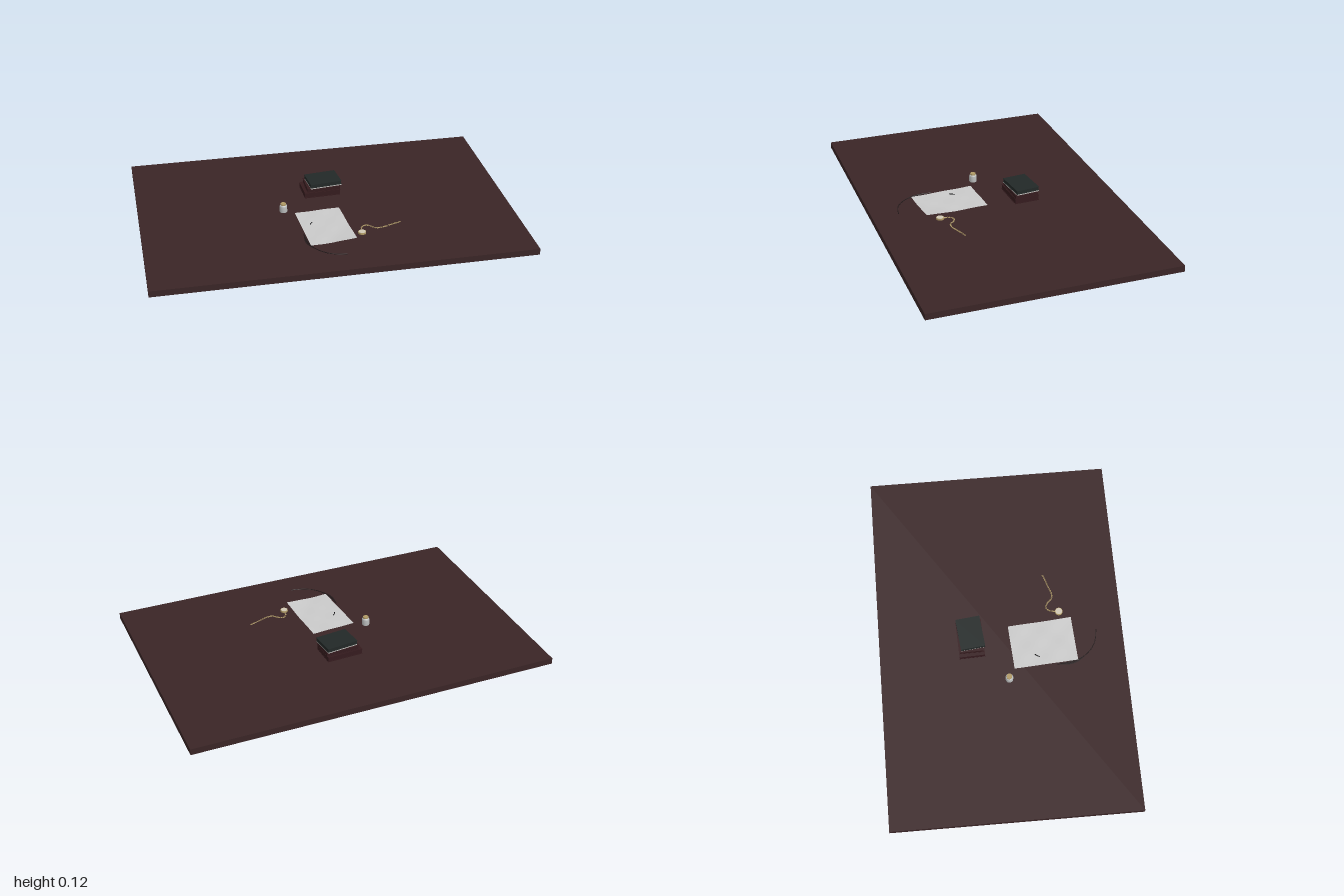
import * as THREE from 'three';

const mat = (name, color, extra = {}) =>
  Object.assign(new THREE.MeshStandardMaterial({ color, ...extra }), { name });

export function createModel() {
  const model = new THREE.Group();
  model.name = 'writingDesk';
  const wood = mat('dark wood', 0x3a2526);
  const red = mat('oxblood leather', 0x351b1e);
  const green = mat('dark green leather', 0x222827);
  const pages = mat('page edges', 0xc4c4c0);
  const paper = mat('paper', 0xcacaca, { side: THREE.DoubleSide });
  const ink = mat('ink', 0x0c0c0e);
  const glass = mat('pale glass', 0xb9bcbc);
  const brass = mat('brass', 0xb09a66);
  const dial = mat('dial', 0xd0c8b4);
  const quillDark = mat('dark feather', 0x241a1b, { side: THREE.DoubleSide });
  const TOP = 0.034;

  function add(parent, name, geometry, material, x = 0, y = 0, z = 0, ry = 0) {
    const m = new THREE.Mesh(geometry, material);
    m.name = name;
    m.position.set(x, y, z);
    m.rotation.y = ry;
    parent.add(m);
    return m;
  }
  function group(name, x, y, z, ry = 0) {
    const g = new THREE.Group();
    g.name = name;
    g.position.set(x, y, z);
    g.rotation.y = ry;
    model.add(g);
    return g;
  }
  const curve = (pts, y) =>
    new THREE.CatmullRomCurve3(pts.map(([x, z, h = y]) => new THREE.Vector3(x, h, z)));

  // Table top
  add(model, 'tableTop', new THREE.BoxGeometry(2, TOP, 1.333), wood, 0, TOP / 2, 0);

  // Stack of three books
  function book(name, w, h, d, x, y, z, ry, cover) {
    const g = group(name, x, y, z, ry);
    const t = 0.003;
    add(g, 'block', new THREE.BoxGeometry(w - 0.002, h - 2 * t, d - 0.004), cover, 0, h / 2, 0);
    for (const [n, by] of [['lowerBoard', t / 2], ['upperBoard', h - t / 2]])
      add(g, n, new THREE.BoxGeometry(w, t, d), cover, 0, by, 0);
    return g;
  }
  book('bottomBook', 0.2, 0.03, 0.14, 0.012, TOP, -0.168, 0.04, red);
  book('middleBook', 0.185, 0.024, 0.132, 0.022, TOP + 0.03, -0.167, 0.02, red);
  book('topBook', 0.176, 0.021, 0.132, 0.029, TOP + 0.06, -0.166, 0.11, green);
  add(model, 'topBookPages', new THREE.BoxGeometry(0.174, 0.006, 0.13), pages,
    0.029, TOP + 0.057, -0.166, 0.11);

  // Ink bottle with stopper
  const bottle = group('inkBottle', -0.226, TOP, 0.025);
  const profile = [[0, 0], [0.019, 0], [0.021, 0.003], [0.021, 0.034], [0.018, 0.04], [0.013, 0.042], [0, 0.042]];
  add(bottle, 'bottleBody',
    new THREE.LatheGeometry(profile.map(p => new THREE.Vector2(...p)), 20), glass);
  add(bottle, 'stopper', new THREE.CylinderGeometry(0.015, 0.015, 0.008, 16), brass, 0, 0.046, 0);

  // Sheet of paper: gentle ripples, uneven edges, near corner lifted
  const W = 0.247, D = 0.35;
  const sheet = new THREE.PlaneGeometry(W, D, 24, 32).rotateX(-Math.PI / 2);
  const p = sheet.attributes.position;
  for (let i = 0; i < p.count; i++) {
    const x = p.getX(i), z = p.getZ(i), u = x / W + 0.5, v = z / D + 0.5;
    const lift = Math.max(0, u + v * 1.4 - 1.6) / 0.8;
    p.setXYZ(i,
      x + (u === 0 || u === 1 ? 0.0015 * Math.sin(z * 190) : 0),
      0.0025 + 0.0008 * Math.sin(x * 40) * Math.cos(z * 35) + 0.011 * lift * lift,
      z + (v === 0 || v === 1 ? 0.0015 * Math.sin(x * 170) : 0));
  }
  sheet.computeVertexNormals();
  const letter = group('letter', -0.035, TOP, 0.225, 0.065);
  add(letter, 'sheet', sheet, paper);

  // Ink stroke on the paper
  add(model, 'inkStroke', new THREE.TubeGeometry(
    curve([[-0.113, 0.2], [-0.106, 0.186], [-0.096, 0.175]], TOP + 0.004), 8, 0.0025, 5), ink);

  // Curved quill lying beside the paper: tapering shaft and flat vane
  const quill = group('quill', 0, 0, 0);
  const shaft = curve([[-0.163, 0.29], [-0.16, 0.37], [-0.137, 0.43], [-0.09, 0.485], [-0.04, 0.512], [0.02, 0.523]], TOP + 0.003);
  add(quill, 'shaft', new THREE.TubeGeometry(shaft, 40, 0.0025, 6), quillDark);
  const vane = new THREE.PlaneGeometry(1, 1, 2, 30);
  const vp = vane.attributes.position;
  for (let i = 0; i < vp.count; i++) {
    const t = 0.5 - vp.getY(i), side = vp.getX(i) * 2;
    const c = shaft.getPointAt(t), d = shaft.getTangentAt(t);
    const w = t < 0.5 ? 0.009 * Math.sin(Math.PI * t / 0.5) : 0;
    vp.setXYZ(i, c.x - d.z * w * side, TOP + 0.002, c.z + d.x * w * side);
  }
  vane.computeVertexNormals();
  add(quill, 'vane', vane, quillDark);

  // Pocket watch
  const watch = group('pocketWatch', 0.14, TOP, 0.33);
  add(watch, 'case', new THREE.CylinderGeometry(0.021, 0.021, 0.009, 24), brass, 0, 0.0045, 0);
  add(watch, 'dial', new THREE.CylinderGeometry(0.018, 0.018, 0.002, 24), dial, 0, 0.0095, 0);
  add(watch, 'crown', new THREE.CylinderGeometry(0.003, 0.003, 0.006, 8).rotateX(Math.PI / 2),
    brass, 0.003, 0.005, -0.023);

  // Chain of alternating flat and upright links
  const chain = group('watchChain', 0, 0, 0);
  const path = curve([[0.143, 0.305], [0.15, 0.278], [0.17, 0.262], [0.195, 0.272], [0.22, 0.297],
    [0.25, 0.3], [0.3, 0.283], [0.36, 0.262]], TOP + 0.004);
  const link = new THREE.TorusGeometry(0.0035, 0.0011, 5, 10).scale(1.4, 1, 1);
  const N = 38;
  for (let i = 0; i < N; i++) {
    const c = path.getPointAt(i / (N - 1)), d = path.getTangentAt(i / (N - 1));
    const m = add(chain, 'link', link, brass, c.x, c.y, c.z, Math.atan2(-d.z, d.x));
    if (i % 2) m.rotateX(Math.PI / 2);
  }
  return model;
}
